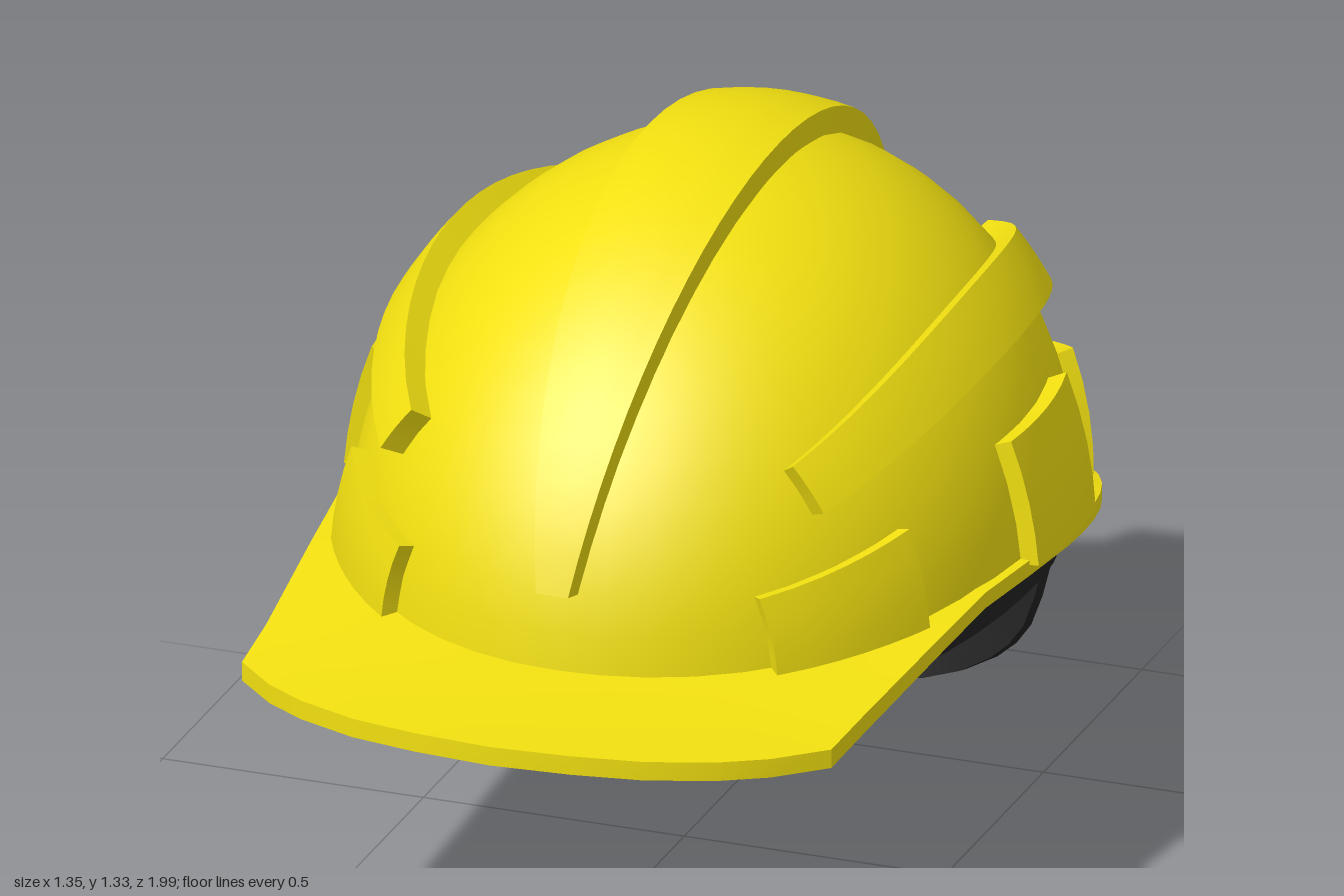
import * as THREE from 'three';
import { toCreasedNormals } from 'three/addons/utils/BufferGeometryUtils.js';

const yellow = new THREE.MeshStandardMaterial({ color: 0xf2e010 });
const black = new THREE.MeshStandardMaterial({ color: 0x222222 });

// Dome ellipsoid: centre height, centre depth and radii
const CY = 0.55, CZ = -0.15, RX = 0.64, RY = 0.73, RZ = 0.8;
const { sin, cos, PI, abs, sqrt, max, min } = Math;

// Height of the curved rim at depth z
const rimY = z => z < -0.05
  ? 0.625 - 0.245 * (z + 0.05) ** 2
  : 0.625 - 0.05 * sin(min(1, (z + 0.05) / 1.05) * PI / 2) ** 2;

// Thick sheet: f(u, v, side) gives its outer (side 1) and inner (side 0) surface
function slab(name, nu, nv, material, f, closed = false, crease = 0.6) {
  const tris = [];
  const P = (i, j, s) => f((closed ? i % nu : i) / nu, j / nv, s);
  const quad = (a, b, c, d) => tris.push(a, b, c, a, c, d);
  for (let i = 0; i < nu; i++) for (let j = 0; j < nv; j++) {
    quad(P(i, j, 1), P(i + 1, j, 1), P(i + 1, j + 1, 1), P(i, j + 1, 1));
    quad(P(i, j, 0), P(i, j + 1, 0), P(i + 1, j + 1, 0), P(i + 1, j, 0));
  }
  for (let i = 0; i < nu; i++) {
    quad(P(i, 0, 0), P(i + 1, 0, 0), P(i + 1, 0, 1), P(i, 0, 1));
    quad(P(i, nv, 0), P(i, nv, 1), P(i + 1, nv, 1), P(i + 1, nv, 0));
  }
  if (!closed) for (let j = 0; j < nv; j++) {
    quad(P(0, j, 0), P(0, j, 1), P(0, j + 1, 1), P(0, j + 1, 0));
    quad(P(nu, j, 0), P(nu, j + 1, 0), P(nu, j + 1, 1), P(nu, j, 1));
  }
  // Turn the faces outward when the enclosed volume is negative
  let volume = 0;
  const cross = new THREE.Vector3();
  for (let k = 0; k < tris.length; k += 3)
    volume += tris[k].dot(cross.crossVectors(tris[k + 1], tris[k + 2]));
  if (volume < 0) tris.reverse();
  const geometry = toCreasedNormals(new THREE.BufferGeometry().setFromPoints(tris), crease);
  const mesh = new THREE.Mesh(geometry, material);
  mesh.name = name;
  return mesh;
}

const V = (x, y, z) => new THREE.Vector3(x, y, z);

// Point on the dome's side at height y and depth z, pushed out along the normal
function onDome(y, z, off, mirror) {
  const dy = max(0, y - CY), dz = z - CZ;
  const x = RX * sqrt(max(0, 1 - (dy / RY) ** 2 - (dz / RZ) ** 2));
  const n = V(x / RX ** 2, dy / RY ** 2, dz / RZ ** 2).normalize();
  return V((x + n.x * off) * mirror, y + n.y * off, z + n.z * off);
}

// Raised panel on the dome's side between two depths and two height rules
const panel = (name, z0, z1, low, high, off, mirror, nu) =>
  slab(name, nu, 4, yellow, (u, v, s) => {
    const z = z0 + (z1 - z0) * u;
    return onDome(low(z) + (high(z) - low(z)) * v, z, s ? off : -0.02, mirror);
  });

const line = (z0, y0, z1, y1) => z => y0 + (y1 - y0) * (z - z0) / (z1 - z0);

export function createModel() {
  const model = new THREE.Group();

  // Hollow dome
  model.add(slab('dome', 48, 14, yellow, (u, v, s) => {
    const a = u * 2 * PI, k = s ? 1 : 0.965;
    const t0 = Math.asin((rimY(CZ + RZ * cos(a)) - 0.01 - CY) / RY);
    const t = t0 + (PI / 2 - t0) * v;
    const r = t < 0 ? 1 : cos(t);
    return V(RX * k * r * sin(a), CY + RY * sin(t) * (t > 0 ? k : 1), CZ + RZ * k * r * cos(a));
  }, true));

  // Brim: visor at the front, narrow lip around the back
  const half = [[0, 0.99], [0.15, 0.975], [0.28, 0.945], [0.4, 0.89], [0.48, 0.835], [0.565, 0.75],
    [0.575, 0.6], [0.59, 0.45], [0.605, 0.3], [0.622, 0.12], [0.648, -0.04]];
  for (let i = 0; i <= 14; i++) {
    const a = i / 14 * PI / 2;
    half.push([0.66 * cos(a), -0.2 - 0.8 * sin(a)]);
  }
  const outline = [...half, ...half.slice(1, -1).reverse().map(([x, z]) => [-x, z])];
  model.add(slab('brim', outline.length, 5, yellow, (u, v, s) => {
    const [ox, oz] = outline[Math.round(u * outline.length)];
    const a = Math.atan2(ox / RX, (oz - CZ) / RZ);
    const x = THREE.MathUtils.lerp(RX * 0.966 * sin(a), ox, v);
    const z = THREE.MathUtils.lerp(CZ + RZ * 0.966 * cos(a), oz, v);
    const front = THREE.MathUtils.clamp((z - 0.1) / 0.6, 0, 1);
    const top = rimY(z) - 0.022 * front * (x / 0.56) ** 2;
    return V(x, s ? top : top - 0.03 - 0.006 * front, z);
  }, true));

  // Centre ridge, widest at the crown
  model.add(slab('centreRidge', 32, 6, yellow, (u, v, s) => {
    const a = 0.25 + (PI - 0.31) * u, off = s ? 0.05 : -0.02;
    const x = (2 * v - 1) * max(0.025, 0.125 * sin(a));
    const k = sqrt(1 - (x / RX) ** 2);
    return V(x, CY + (RY + off) * k * sin(a), CZ + (RZ + off) * k * cos(a));
  }));

  // Long ribs and raised pads on both sides
  for (const m of [1, -1]) {
    const side = m > 0 ? 'left' : 'right';
    model.add(
      panel(side + 'Rib', 0.39, -0.77, z => 0.96 - 0.36 * (z + 0.17) ** 2,
        z => 1.06 - 0.43 * (z + 0.17) ** 2, 0.045, m, 20),
      panel(side + 'FrontPad', 0.51, 0.26, z => rimY(z) - 0.01, line(0.51, 0.725, 0.26, 0.785), 0.03, m, 6),
      panel(side + 'MiddlePad', -0.04, -0.36, z => rimY(z) - 0.01, () => 0.84, 0.035, m, 6),
      panel(side + 'BackPad', -0.61, -0.83, z => rimY(z) - 0.01, line(-0.61, 0.775, -0.83, 0.685), 0.03, m, 6));
  }

  // Headband under the rim
  model.add(slab('headband', 48, 1, black, (u, v, s) => {
    const a = u * 2 * PI, k = s ? 1 : 0.965;
    const y = rimY(-0.14 + 0.78 * cos(a)) - 0.115 + 0.095 * v;
    return V(0.6 * k * sin(a), y, -0.14 + 0.78 * k * cos(a));
  }, true));

  // Crossed cradle straps inside the dome, flared where they meet the headband
  for (const lengthwise of [true, false]) {
    model.add(slab(lengthwise ? 'lengthwiseStrap' : 'crosswiseStrap', 24, 2, black, (u, v, s) => {
      const a = u * PI, r = (lengthwise ? 0.75 : 0.575) + 0.015 * s;
      const w = (2 * v - 1) * (0.05 + 0.05 * abs(cos(a)) ** 6);
      const x = lengthwise ? w : r * cos(a);
      const z = CZ + (lengthwise ? r * cos(a) : w);
      const base = rimY(z) - 0.07;
      return V(x, base + (1.08 + 0.015 * s - base) * sin(a), z);
    }));
  }

  // Nape strap hanging behind the headband, lofted between its two edges
  const edge = points => new THREE.CatmullRomCurve3([
    ...points.map(p => V(...p)),
    ...points.slice(0, -1).reverse().map(([x, y, z]) => V(-x, y, z))]);
  const outer = edge([[0.5, 0.47, -0.61], [0.47, 0.36, -0.62], [0.42, 0.22, -0.65],
    [0.34, 0.13, -0.69], [0.18, 0.04, -0.76], [0, 0.015, -0.785]]);
  const inner = edge([[0.43, 0.47, -0.7], [0.4, 0.36, -0.7], [0.35, 0.24, -0.715],
    [0.3, 0.19, -0.74], [0.16, 0.135, -0.79], [0, 0.125, -0.815]]);
  model.add(slab('napeStrap', 20, 1, black, (u, v, s) => {
    const p = outer.getPoint(u).lerp(inner.getPoint(u), v);
    const n = V(p.x, 0, p.z + 0.3).normalize();
    return p.addScaledVector(n, s ? 0 : -0.015);
  }));

  // Adjusting knob at the back of the nape strap
  const knob = new THREE.Mesh(new THREE.CylinderGeometry(0.08, 0.08, 0.03, 20), black);
  knob.name = 'adjustingKnob';
  knob.position.set(0, 0.085, -0.805);
  knob.rotation.x = -1.876;
  model.add(knob);

  return model;
}
